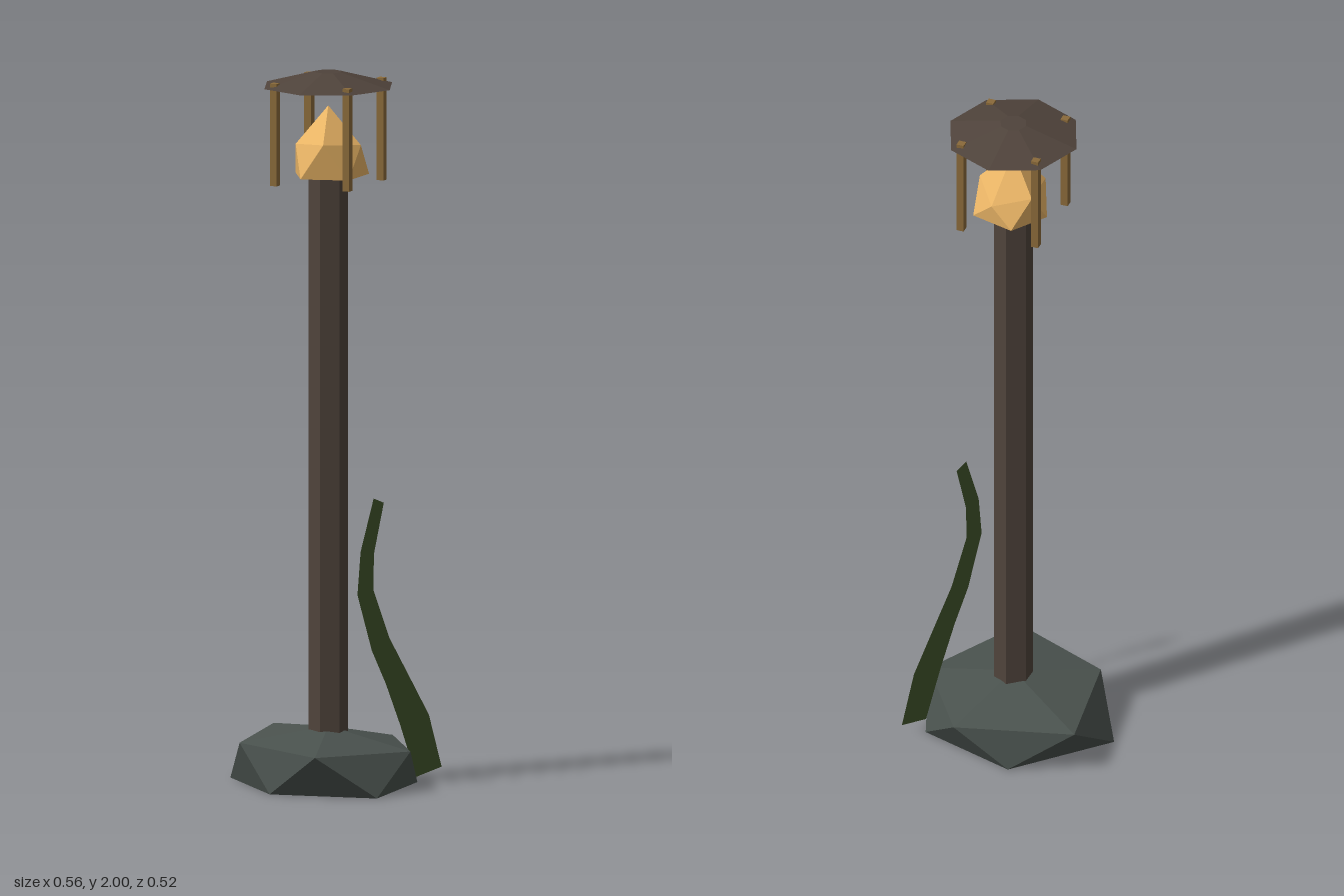
import * as THREE from 'three';

const mat = (color, extra = {}) => new THREE.MeshStandardMaterial({ color, flatShading: true, ...extra });

function add(parent, name, geometry, material, x = 0, y = 0, z = 0) {
  const mesh = new THREE.Mesh(geometry, material);
  mesh.name = name;
  mesh.position.set(x, y, z);
  parent.add(mesh);
  return mesh;
}

function build(points, faces) {
  const g = new THREE.BufferGeometry();
  g.setAttribute('position', new THREE.Float32BufferAttribute(points.flat(), 3));
  g.setIndex(faces.flat());
  const flat = g.toNonIndexed();
  flat.computeVertexNormals();
  return flat;
}

// Faceted lump: apex, upper ring of five [radius, height], offset lower ring of five radii, flat bottom
function lump(top, upper, lower, bottom) {
  const at = (r, y, step) => {
    const a = step * Math.PI * 2 / 5;
    return [r * Math.cos(a), y, r * Math.sin(a)];
  };
  const points = [[0, top, 0], [0, bottom, 0]];
  upper.forEach(([r, y], i) => points.push(at(r, y, i)));
  lower.forEach((r, i) => points.push(at(r, bottom, i + 0.5)));
  const faces = [];
  for (let i = 0; i < 5; i++) {
    const j = (i + 1) % 5;
    const u = 2 + i, v = 2 + j, l = 7 + i, m = 7 + j;
    faces.push([0, v, u], [u, v, l], [l, v, m], [1, l, m]);
  }
  return build(points, faces);
}

export function createModel() {
  const model = new THREE.Group();
  model.name = 'lanternPost';
  const lamp = new THREE.Group();
  lamp.name = 'lamp';
  lamp.position.set(0.02, 0, -0.015);
  model.add(lamp);

  const wood = mat(0x4f433b);
  const brass = mat(0x8a6a3a);

  // Rock base
  add(lamp, 'rockBase', lump(0.165,
    [[0.252, 0.11], [0.291, 0.12], [0.25, 0.125], [0.315, 0.13], [0.26, 0.11]],
    [0.281, 0.237, 0.3, 0.247, 0.251], 0), mat(0x4a524e));

  // Six-sided post
  add(lamp, 'post', new THREE.CylinderGeometry(0.055, 0.055, 1.63, 6), wood, 0, 0.895, 0);

  // Glowing stone
  add(lamp, 'lightStone', lump(1.905,
    [[0.1, 1.8], [0.112, 1.81], [0.092, 1.8], [0.095, 1.8], [0.095, 1.77]],
    [0.117, 0.112, 0.1, 0.105, 0.115], 1.71), mat(0xeab566));

  // Corner bars and roof
  for (const sx of [-1, 1]) for (const sz of [-1, 1]) {
    add(lamp, 'cornerBar', new THREE.BoxGeometry(0.021, 0.287, 0.021), brass, sx * 0.111, 1.8315, sz * 0.111);
  }
  add(lamp, 'roof', new THREE.CylinderGeometry(0.038, 0.188, 0.04, 8), wood, 0, 1.98, 0);

  // Flat weed blade lying in one upright plane: [z of near edge, z of far edge, y near, y far]
  const rows = [
    [-0.13, -0.21, 0.02, 0.04], [-0.08, -0.17, 0.17, 0.19], [-0.035, -0.105, 0.29, 0.31],
    [0.01, -0.045, 0.39, 0.42], [0.055, 0.005, 0.55, 0.56], [0.045, 0.003, 0.67, 0.66],
    [0.004, -0.028, 0.815, 0.8],
  ];
  const points = [], faces = [];
  rows.forEach(([za, zb, ya, yb], i) => {
    points.push([0.17 - 0.5 * za, ya, za], [0.17 - 0.5 * zb, yb, zb]);
    const k = 2 * i;
    if (i) faces.push([k - 2, k - 1, k], [k - 1, k + 1, k]);
  });
  add(model, 'weedBlade', build(points, faces), mat(0x42552b, { side: THREE.DoubleSide }));

  return model;
}
